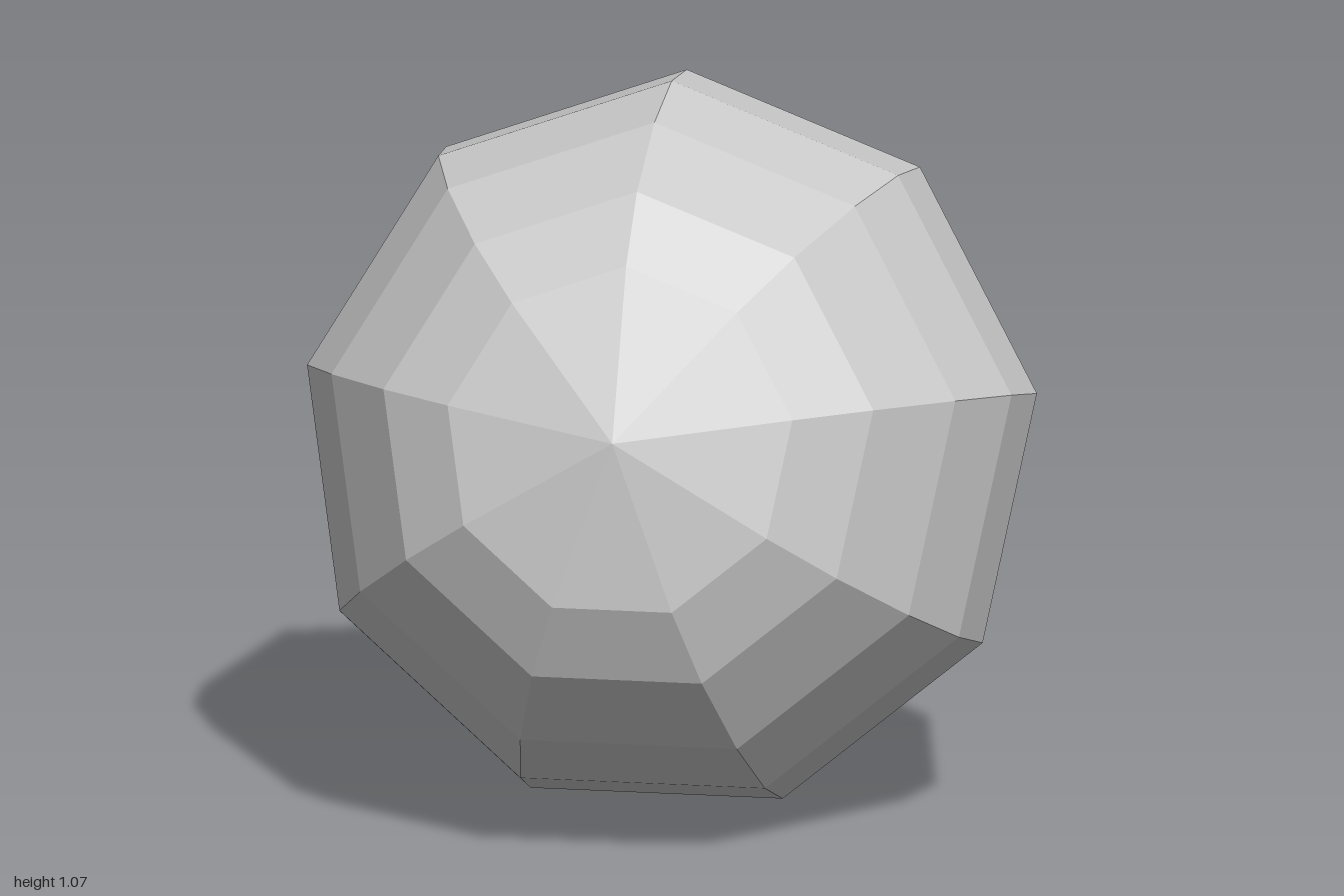
import * as THREE from 'three';

const SIDES = 9;

// [radius, distance along the axis], from the open tail to the tip of the bulb
const PROFILE = [
  [0.089, 0], [0.087, 0.43], [0.106, 0.65], [0.179, 0.88], [0.25, 1.315],
  [0.541, 1.75], [0.525, 1.885], [0.465, 2.03], [0.365, 2.165], [0.257, 2.238], [0, 2.298],
];

export function createModel() {
  const group = new THREE.Group();
  group.name = 'taperedBulb';

  // Tilted axis from the tail to the tip, with one corner of each ring on top
  const tail = new THREE.Vector3(-0.69, 0.08, -0.95);
  const axis = new THREE.Vector3(0.54, 0.67, 0.9).sub(tail).normalize();
  const up = new THREE.Vector3(0, 1, 0).addScaledVector(axis, -axis.y).normalize();
  const side = new THREE.Vector3().crossVectors(axis, up);

  // Nine-sided faceted shell, open at the tail
  const points = PROFILE.map(([r, d]) => new THREE.Vector2(r, d));
  const geometry = new THREE.LatheGeometry(points, SIDES)
    .applyMatrix4(new THREE.Matrix4().makeBasis(side, axis, up).setPosition(tail))
    .toNonIndexed();
  geometry.computeVertexNormals();

  const shell = new THREE.Mesh(geometry, new THREE.MeshStandardMaterial({
    color: 0xcccccc, flatShading: true, side: THREE.DoubleSide,
  }));
  shell.name = 'bulbAndHollowStem';
  group.add(shell);
  return group;
}
